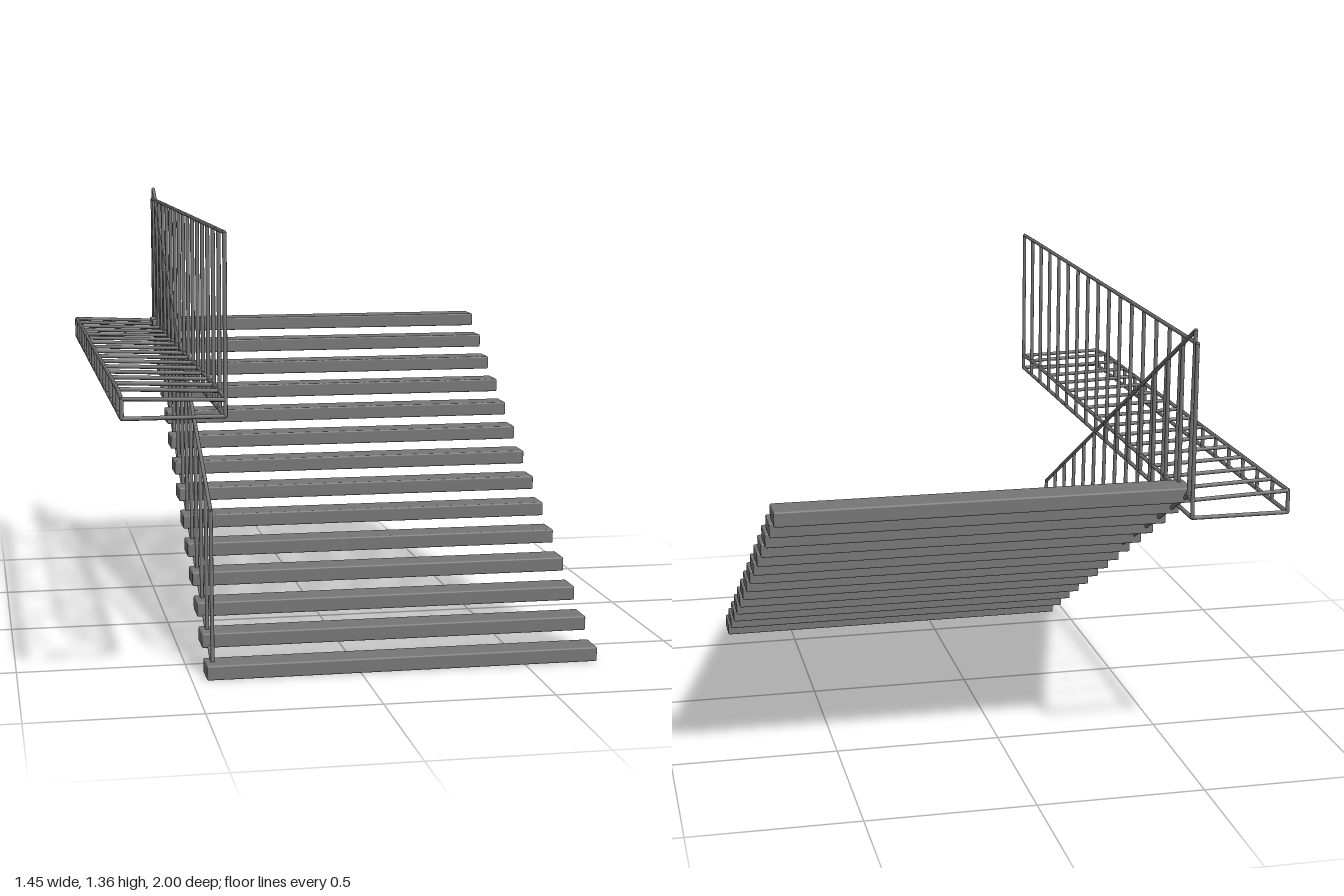
import * as THREE from 'three';
import { RoundedBoxGeometry } from 'three/addons/geometries/RoundedBoxGeometry.js';

const material = new THREE.MeshStandardMaterial({ color: 0x777777 });
const V = (x, y, z) => new THREE.Vector3(x, y, z);
const UP = V(0, 1, 0);

// Straight metal bar between two points
function bar(parent, name, a, b, radius = 0.006) {
  const dir = b.clone().sub(a);
  const mesh = new THREE.Mesh(new THREE.CylinderGeometry(radius, radius, dir.length(), 8), material);
  mesh.position.copy(a).add(b).multiplyScalar(0.5);
  mesh.quaternion.setFromUnitVectors(UP, dir.normalize());
  mesh.name = name;
  parent.add(mesh);
}

function group(parent, name) {
  const g = new THREE.Group();
  g.name = name;
  parent.add(g);
  return g;
}

export function createModel() {
  const model = new THREE.Group();
  model.name = 'staircase';

  // Fourteen floating treads
  const steps = 14;
  const treads = group(model, 'treads');
  const treadShape = new RoundedBoxGeometry(1.18, 0.044, 0.094, 2, 0.005);
  for (let i = 0; i < steps; i++) {
    const t = i / (steps - 1);
    const tread = new THREE.Mesh(treadShape, material);
    tread.name = 'tread';
    tread.position.set(0.133, 0.022 + 0.852 * t, 0.64 - 1.53 * t);
    treads.add(tread);
  }

  // Sloping stair railing: stringer, handrail and leaning balusters
  const stair = group(model, 'stairRailing');
  const x = -0.435;
  const low = [V(x, 0.03, 0.64), V(x, 0.883, -0.965)];
  const high = [V(x, 0.49, 0.622), V(x, 1.355, -0.983)];
  bar(stair, 'stringer', ...low);
  bar(stair, 'stairHandrail', ...high);
  for (let i = 0; i < steps; i++) {
    const t = i / (steps - 1);
    bar(stair, 'stairBaluster', low[0].clone().lerp(low[1], t), high[0].clone().lerp(high[1], t));
  }

  // Landing: a shallow open frame with a tall railing on its inner side
  const landing = group(model, 'landing');
  const inner = -0.438, outer = -0.718;
  const bottom = 0.825, rail = 1.319, end = 0.993;
  const stations = 17;
  const zAt = i => end - (2 * end * i) / (stations - 1);
  const innerY = i => (i === 0 ? 0.87 : 0.877);
  const outerY = i => (i === 0 ? 0.879 : 0.888);

  for (const side of [inner, outer]) {
    bar(landing, 'lowerRail', V(side, bottom, end), V(side, bottom, -end));
  }
  for (const z of [end, -end]) {
    bar(landing, 'lowerEndBar', V(inner, bottom, z), V(outer, bottom, z));
  }
  bar(landing, 'landingHandrail', V(inner, rail, end), V(inner, rail, -end));

  for (let i = 0; i < stations; i++) {
    const z = zAt(i);
    bar(landing, 'landingBaluster', V(inner, bottom, z), V(inner, rail, z));
    bar(landing, 'outerStub', V(outer, bottom, z), V(outer, outerY(i), z));
    bar(landing, 'rung', V(inner, innerY(i), z), V(outer, outerY(i), z));
  }

  // Deck-level rails, dipping slightly at the front end
  for (const [side, yAt] of [[inner, innerY], [outer, outerY]]) {
    bar(landing, 'deckRailFront', V(side, yAt(0), end), V(side, yAt(1), zAt(1)));
    bar(landing, 'deckRail', V(side, yAt(1), zAt(1)), V(side, yAt(1), -end));
  }

  return model;
}
